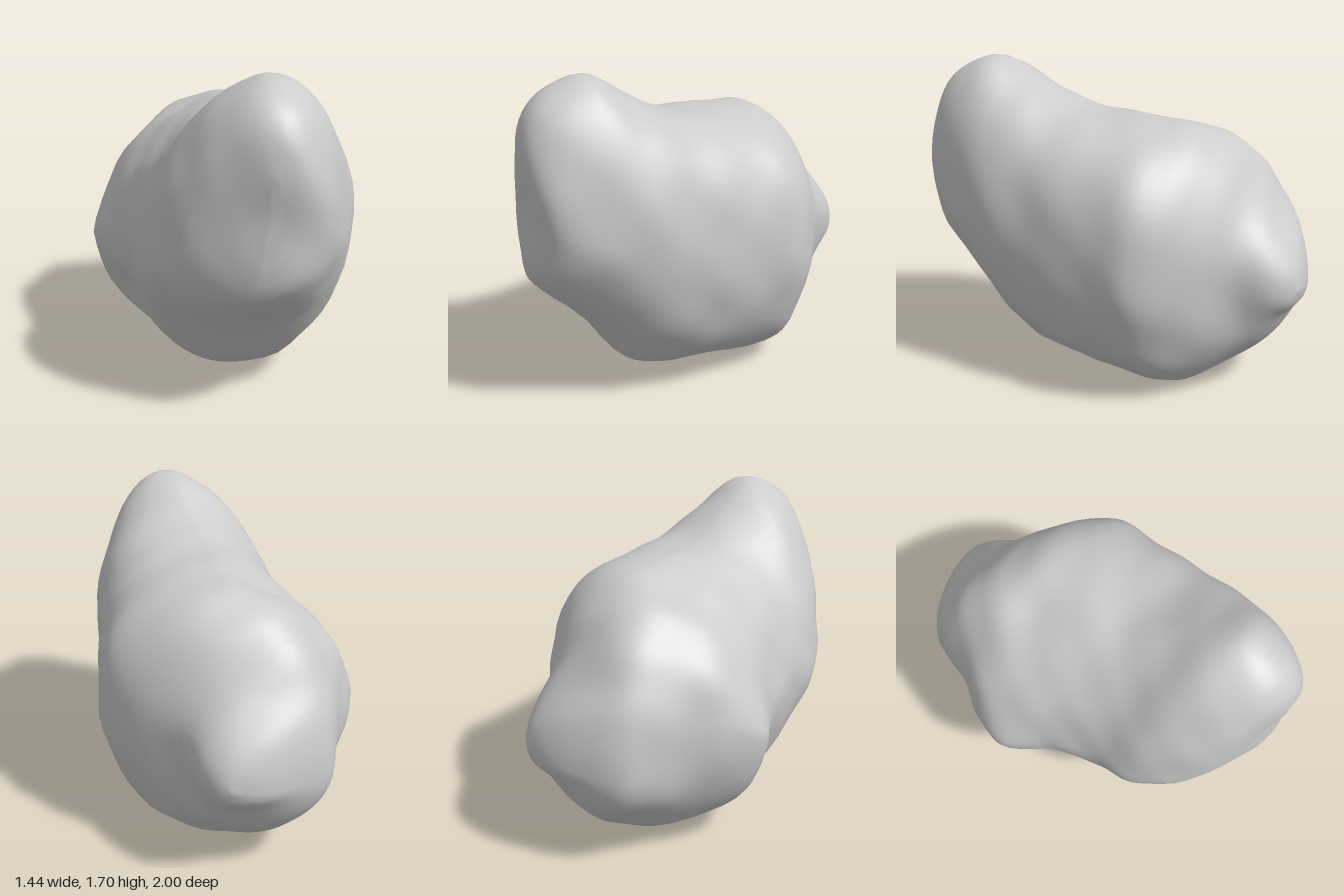
import * as THREE from 'three';
import { mergeVertices } from 'three/addons/utils/BufferGeometryUtils.js';

const COLS = 56, ROWS = 60;

// Cross-sections from front to back:
// z, left x/y, right x/y, top x/y, bottom x/y (as seen from the front),
// then roundness of the upper left, upper right and lower corners
// (1 is an ellipse, smaller is boxier, larger is flatter)
const SECTIONS = [
  [0.965, 0.17, 1.12, 0.50, 1.15, 0.34, 1.51, 0.27, 0.73, 0.9, 0.9, 0.9],
  [0.88, -0.10, 0.90, 0.60, 1.04, 0.32, 1.62, 0.20, 0.62, 1.15, 0.9, 0.95],
  [0.65, -0.34, 0.78, 0.67, 0.96, 0.28, 1.70, 0.11, 0.39, 1.22, 0.88, 1.0],
  [0.42, -0.41, 0.74, 0.71, 0.97, 0.22, 1.58, 0.06, 0.10, 1.22, 0.9, 1.0],
  [0.20, -0.52, 0.68, 0.68, 0.88, 0.13, 1.47, 0.06, 0.05, 1.15, 0.75, 0.92],
  [0.00, -0.69, 0.65, 0.67, 0.82, 0.06, 1.45, 0.04, 0.05, 1.25, 0.8, 0.88],
  [-0.20, -0.70, 0.74, 0.64, 0.80, 0.01, 1.43, 0.00, 0.01, 1.15, 0.85, 0.9],
  [-0.40, -0.63, 0.70, 0.61, 0.78, -0.04, 1.40, -0.02, 0.00, 1.0, 0.9, 0.95],
  [-0.59, -0.60, 0.61, 0.42, 0.74, -0.12, 1.27, -0.06, 0.11, 0.88, 0.88, 0.98],
  [-0.75, -0.55, 0.58, 0.18, 0.68, -0.17, 1.04, -0.12, 0.23, 0.85, 0.9, 0.95],
  [-0.90, -0.36, 0.60, 0.08, 0.65, -0.14, 0.86, -0.10, 0.46, 0.8, 0.9, 0.9],
  [-0.97, -0.22, 0.61, 0.00, 0.63, -0.10, 0.74, -0.08, 0.54, 0.9, 0.9, 0.9],
];
const FRONT = new THREE.Vector3(0.35, 1.29, 1.0);
const BACK = new THREE.Vector3(-0.07, 0.63, -1.0);

// Soft dents and bumps: centre, radius, push
const DENTS = [
  [[0.36, 1.05, 0.96], 0.14, [0, 0, -0.03]],
  [[-0.5, 0.36, 0.12], 0.13, [0.04, 0.03, -0.02]],
  [[-0.71, 0.65, 0.0], 0.11, [-0.03, 0, 0]],
  [[-0.22, 1.38, -0.2], 0.13, [0.01, -0.04, 0]],
  [[-0.4, 0.28, -0.55], 0.14, [0.03, 0.03, 0.02]],
];

// Point on an oval through the four extremes of a section
function sectionPoint([z, lx, ly, rx, ry, tx, ty, bx, by, upLeft, upRight, low], angle) {
  const c = Math.cos(angle), s = Math.sin(angle);
  const power = s < 0 ? low : c > 0 ? upRight : upLeft;
  const side = c > 0 ? [rx, ry] : [lx, ly];
  const pole = s > 0 ? [tx, ty] : [bx, by];
  const u = Math.abs(c) ** power, v = Math.abs(s) ** power;
  return new THREE.Vector3(pole[0] + (side[0] - pole[0]) * u, side[1] + (pole[1] - side[1]) * v, z);
}

// Small smooth unevenness of the stone
function unevenness({ x, y, z }) {
  return Math.sin(9 * x + 4 * y + 1) * Math.sin(8 * y - 5 * z) * 0.5
    + Math.sin(15 * z + 6 * x) * Math.sin(14 * y + 9 * x + 2) * 0.5;
}

function rockGeometry() {
  const positions = [], index = [];
  const centre = new THREE.Vector3(0, 0.75, 0);
  for (let i = 0; i < COLS; i++) {
    // one rib runs from the front tip to the back tip
    const angle = (i / COLS) * Math.PI * 2;
    const rib = new THREE.CatmullRomCurve3(
      [FRONT, ...SECTIONS.map((s) => sectionPoint(s, angle)), BACK], false, 'centripetal');
    for (let j = 0; j <= ROWS; j++) {
      const p = rib.getPoint(j / ROWS);
      const fade = Math.min(1, 6 * j / ROWS, 6 * (1 - j / ROWS));
      const out = p.clone().sub(centre).normalize();
      const q = p.clone().addScaledVector(out, 0.013 * fade * unevenness(p));
      for (const [c, r, push] of DENTS) {
        const d = p.distanceTo(new THREE.Vector3(...c)) / r;
        q.addScaledVector(new THREE.Vector3(...push), Math.exp(-d * d));
      }
      positions.push(q.x, Math.max(q.y, 0), q.z);
      const a = i * (ROWS + 1) + j, b = ((i + 1) % COLS) * (ROWS + 1) + j;
      if (j > 0 && j < ROWS) index.push(a, a + 1, b);
      if (j < ROWS - 1) index.push(b, a + 1, b + 1);
    }
  }
  const raw = new THREE.BufferGeometry();
  raw.setAttribute('position', new THREE.Float32BufferAttribute(positions, 3));
  raw.setIndex(index);
  const geometry = mergeVertices(raw, 1e-5);
  geometry.computeVertexNormals();
  return geometry;
}

export function createModel() {
  const group = new THREE.Group();
  group.name = 'boulder';
  const rock = new THREE.Mesh(rockGeometry(),
    new THREE.MeshStandardMaterial({ color: 0xcccccc, roughness: 0.9 }));
  rock.name = 'rockBody';
  group.add(rock);
  return group;
}
